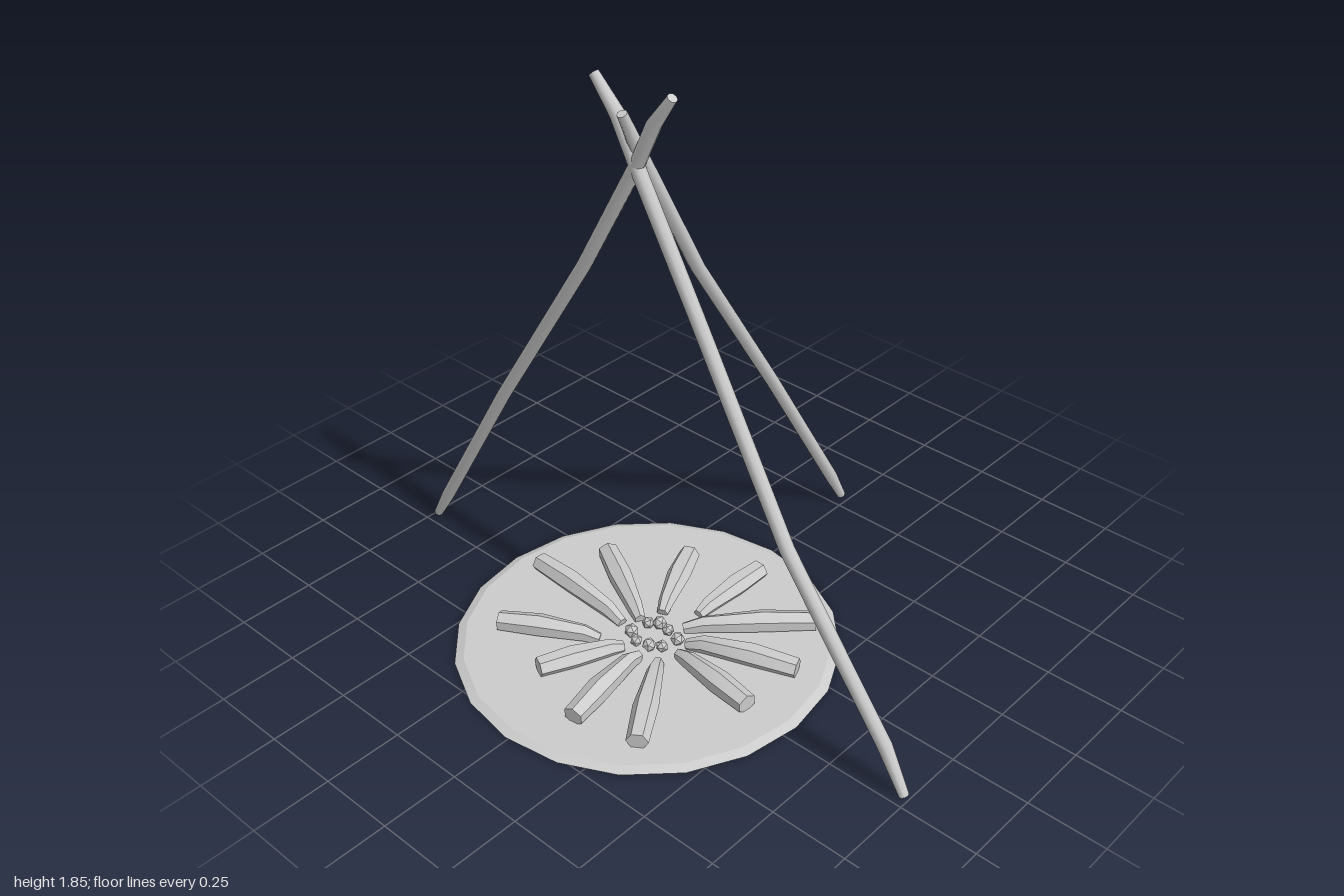
import * as THREE from 'three';
import { toCreasedNormals } from 'three/addons/utils/BufferGeometryUtils.js';

const material = new THREE.MeshStandardMaterial({ color: 0xcccccc });
const openMaterial = new THREE.MeshStandardMaterial({ color: 0xcccccc, side: THREE.DoubleSide });

// Loft rings [x, y, z, halfWidth, halfHeight] along a path, with closed ends
function loft(stations, sides, ref, turn = 0) {
  const centres = stations.map(s => new THREE.Vector3(s[0], s[1], s[2]));
  const pos = [], index = [];
  const n = stations.length;
  stations.forEach((s, i) => {
    const t = centres[Math.min(i + 1, n - 1)].clone().sub(centres[Math.max(i - 1, 0)]).normalize();
    const side = ref.clone().cross(t).normalize();
    const up = t.clone().cross(side);
    for (let k = 0; k < sides; k++) {
      const a = (k / sides) * Math.PI * 2 + turn;
      const p = centres[i].clone()
        .addScaledVector(side, Math.cos(a) * s[3])
        .addScaledVector(up, Math.sin(a) * s[4]);
      pos.push(p.x, p.y, p.z);
    }
  });
  for (let i = 0; i < n - 1; i++) {
    for (let k = 0; k < sides; k++) {
      const a = i * sides + k, b = i * sides + (k + 1) % sides;
      index.push(a, b, b + sides, a, b + sides, a + sides);
    }
  }
  const last = (n - 1) * sides;
  for (let k = 1; k < sides - 1; k++) {
    index.push(0, k + 1, k, last, last + k, last + k + 1);
  }
  const geo = new THREE.BufferGeometry();
  geo.setAttribute('position', new THREE.Float32BufferAttribute(pos, 3));
  geo.setIndex(index);
  return toCreasedNormals(geo, 0.9);
}

function add(group, name, geometry, mat = material) {
  const mesh = new THREE.Mesh(geometry, mat);
  mesh.name = name;
  group.add(mesh);
  return mesh;
}

export function createModel() {
  const model = new THREE.Group();
  model.name = 'campfireTripod';

  // Tripod: three slightly crooked poles crossing near the top
  const tripod = new THREE.Group();
  tripod.name = 'tripod';
  model.add(tripod);
  const pole = (name, points, ref) => {
    const stations = points.map((p, i) => {
      const r = i === 0 || i === points.length - 1 ? 0.015 : 0.022;
      return [...p, r, r];
    });
    add(tripod, name, loft(stations, 8, ref));
  };
  const zAxis = new THREE.Vector3(0, 0, 1), xAxis = new THREE.Vector3(1, 0, 0);
  pole('rightPole', [[-0.985, 0.015, 0.21], [-0.92, 0.125, 0.21], [-0.6, 0.66, 0.21],
    [-0.22, 1.25, 0.21], [0, 1.63, 0.215], [0.065, 1.76, 0.22], [0.13, 1.85, 0.22]], zAxis);
  pole('leftPole', [[0.985, 0.015, 0.215], [0.91, 0.15, 0.215], [0.55, 0.65, 0.225],
    [0.25, 1.18, 0.22], [-0.01, 1.63, 0.215], [-0.07, 1.745, 0.215], [-0.155, 1.84, 0.215]], zAxis);
  pole('backPole', [[-0.025, 0.02, -0.79], [-0.03, 0.13, -0.73], [-0.048, 0.65, -0.42],
    [-0.01, 1.22, -0.03], [-0.008, 1.65, 0.2], [-0.01, 1.78, 0.26]], xAxis);

  // Ash bed: shallow disc with a sloping rim, open underneath
  const ash = new THREE.Group();
  ash.name = 'ashBed';
  ash.position.set(-0.01, 0, 0.2);
  model.add(ash);
  const rim = new THREE.CylinderGeometry(0.57, 0.598, 0.011, 20, 1, true);
  add(ash, 'ashRim', toCreasedNormals(rim, 0.5), openMaterial).position.y = 0.0135;
  const top = new THREE.CircleGeometry(0.57, 20);
  top.rotateX(-Math.PI / 2);
  top.rotateY(Math.PI / 2);
  add(ash, 'ashTop', top, openMaterial).position.y = 0.019;

  // Firewood: tapering split logs laid like spokes [outer x, z, inner x, z]
  const logs = new THREE.Group();
  logs.name = 'firewood';
  model.add(logs);
  const layout = [
    [0.055, -0.26, 0.05, 0.03], [0.35, -0.18, 0.06, 0.11], [0.45, 0.03, 0.12, 0.16],
    [0.44, 0.25, 0.13, 0.21], [0.31, 0.58, 0.11, 0.28], [0.10, 0.63, 0.045, 0.3],
    [-0.13, 0.55, -0.02, 0.3], [-0.38, 0.48, -0.1, 0.32], [-0.5, 0.19, -0.1, 0.22],
    [-0.38, 0, -0.07, 0.17], [-0.17, -0.17, -0.04, 0.1],
  ];
  const yAxis = new THREE.Vector3(0, 1, 0);
  layout.forEach(([ox, oz, ix, iz], i) => {
    const at = (t, y, w, h) => [ox + (ix - ox) * t, y, oz + (iz - oz) * t, w, h];
    const lift = 0.004 * (i % 3);
    add(logs, 'log' + (i + 1), loft([
      at(0, 0.042, 0.034, 0.03),
      at(0.4, 0.043 + lift, 0.039, 0.035),
      at(0.85, 0.036 + lift, 0.026, 0.029),
      at(1, 0.026, 0.018, 0.02),
    ], 6, yAxis, (i % 2) * Math.PI / 6));
  });

  // Embers: little lumps in the middle of the fire
  const embers = new THREE.Group();
  embers.name = 'embers';
  model.add(embers);
  [[-0.035, 0.17], [-0.005, 0.15], [0.04, 0.16], [0.085, 0.165], [0.075, 0.225],
    [0.045, 0.25], [-0.005, 0.255], [-0.045, 0.235]].forEach(([x, z], i) => {
    const ember = add(embers, 'ember' + (i + 1),
      toCreasedNormals(new THREE.IcosahedronGeometry(0.02 + 0.003 * (i % 2), 0), 0.3));
    ember.position.set(x, 0.033 + 0.004 * (i % 3), z);
    ember.rotation.set(i, i * 2, 0);
  });

  return model;
}
